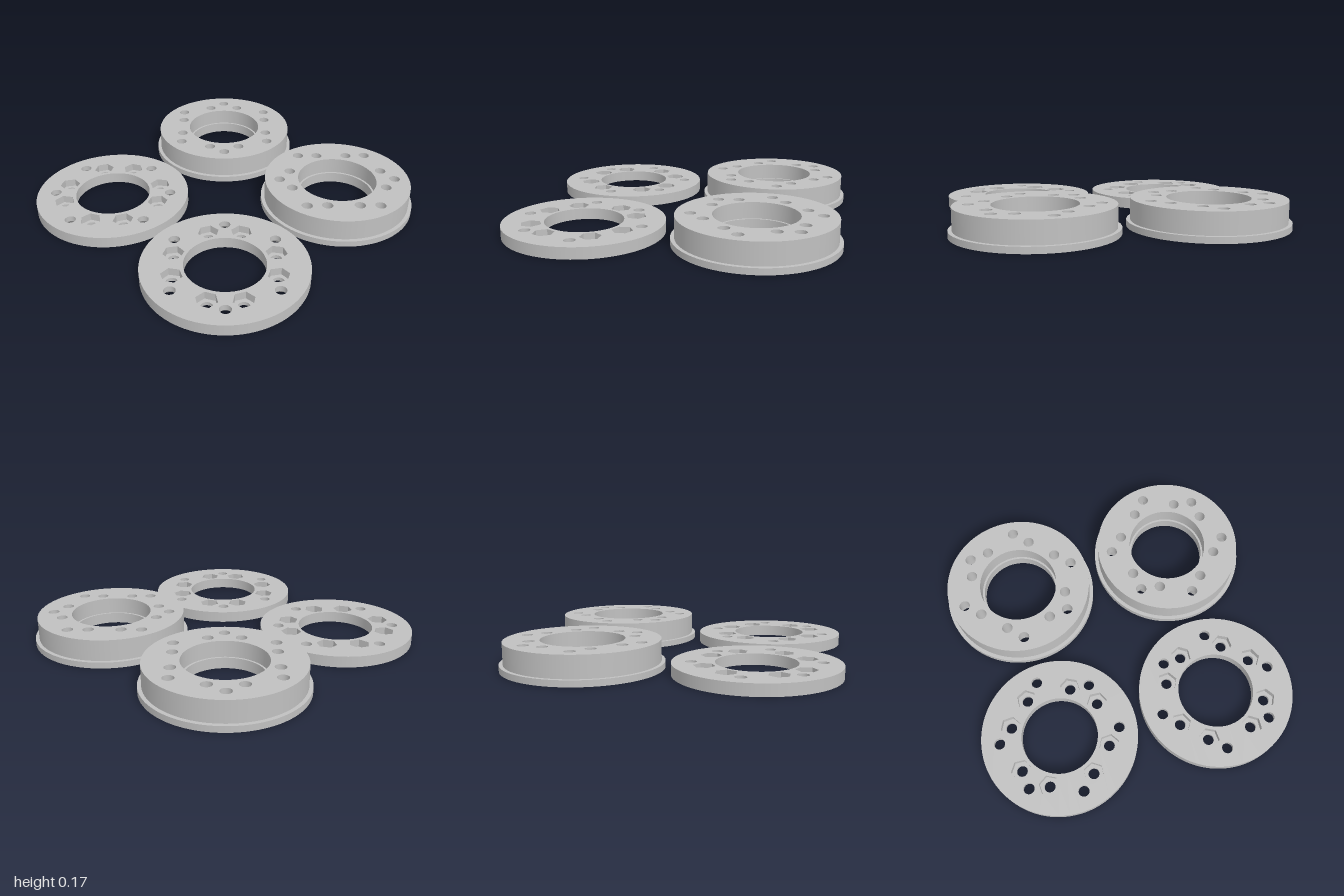
import * as THREE from 'three';
import { mergeGeometries } from 'three/addons/utils/BufferGeometryUtils.js';

const SIDES = 96, HOLE_SIDES = 24;
const OUTER = 0.487, BORE = 0.237, HOLE = 0.034, NUT = 0.064, HEAD = 0.06, SINK = 0.066;

// Inner bolt circle: eight holes
const innerHoles = [];
for (const a of [-1, 1]) for (const b of [-1, 1]) {
  innerHoles.push([0.14 * a, 0.28 * b], [0.28 * a, 0.14 * b]);
}
// Outer bolt circle: six holes, mirrored by m
const outerHoles = (m) => [[0.262, 0.262], [-0.053, 0.37], [-0.37, 0.053]]
  .flatMap(([x, z]) => [[x * m, z], [-x * m, -z]]);

// Nut pockets have a flat side facing the ring's axis
const nutTurn = (x, z) => Math.atan2(x, z) + Math.PI / 6;

// Surface swept around a vertical axis by one straight profile segment
function band([x, z], r0, y0, r1, y1, sides = HOLE_SIDES, turn = 0) {
  let g = new THREE.LatheGeometry([new THREE.Vector2(r0, y0), new THREE.Vector2(r1, y1)], sides, turn);
  if (sides === 6) {
    g = g.toNonIndexed();
    g.computeVertexNormals();
  } else {
    g = g.toNonIndexed();
  }
  return g.translate(x, 0, z);
}

const loop = (x, z, r, sides = HOLE_SIDES, turn = 0) => ({ x, z, r, sides, turn });

// Flat horizontal face with holes, facing up or down
function face(y, up, outline, holes) {
  const s = up ? -1 : 1;
  const points = (l) => Array.from({ length: l.sides }, (_, i) => {
    const a = l.turn + (i / l.sides) * Math.PI * 2;
    return new THREE.Vector2(l.x + l.r * Math.sin(a), s * (l.z + l.r * Math.cos(a)));
  });
  const shape = new THREE.Shape(points(outline));
  shape.holes = holes.map((h) => new THREE.Path(points(h)));
  return new THREE.ShapeGeometry(shape).rotateX(s * Math.PI / 2).translate(0, y, 0).toNonIndexed();
}

export function createModel() {
  const model = new THREE.Group();
  const grey = new THREE.MeshStandardMaterial({ color: 0xc0c0c0 });
  grey.name = 'grey plastic';
  const C = [0, 0];

  const add = (group, name, geometries) => {
    const mesh = new THREE.Mesh(mergeGeometries(geometries), grey);
    mesh.name = name;
    group.add(mesh);
  };

  const place = (name, x, z) => {
    const group = new THREE.Group();
    group.name = name;
    group.position.set(x, 0, z);
    model.add(group);
    return group;
  };

  // Thin ring: nut pockets on top, countersinks underneath
  function flatRing(name, cx, cz) {
    const H = 0.07, POCKET = 0.022, SINK_TOP = 0.034;
    const group = place(name, cx, cz);
    const outer = outerHoles(Math.sign(cx * cz));
    const rim = loop(0, 0, OUTER, SIDES), bore = loop(0, 0, BORE, SIDES);
    add(group, 'ringBody', [
      band(C, OUTER, 0, OUTER, H, SIDES),
      band(C, BORE, H, BORE, 0, SIDES),
      face(H, true, rim, [bore,
        ...innerHoles.map(([x, z]) => loop(x, z, NUT, 6, nutTurn(x, z))),
        ...outer.map(([x, z]) => loop(x, z, HOLE))]),
      face(0, false, rim, [bore,
        ...innerHoles.map(([x, z]) => loop(x, z, HOLE)),
        ...outer.map(([x, z]) => loop(x, z, SINK))]),
    ]);
    add(group, 'nutPockets', innerHoles.flatMap(([x, z]) => [
      band([x, z], NUT, H, NUT, POCKET, 6, nutTurn(x, z)),
      face(POCKET, true, loop(x, z, NUT, 6, nutTurn(x, z)), [loop(x, z, HOLE)]),
      band([x, z], HOLE, POCKET, HOLE, 0),
    ]));
    add(group, 'countersunkHoles', outer.flatMap((p) => [
      band(p, HOLE, H, HOLE, SINK_TOP),
      band(p, HOLE, SINK_TOP, SINK, 0),
    ]));
  }

  // Tall flanged ring: stepped bore, screw recesses underneath
  function flangedRing(name, cx, cz, hex) {
    const H = 0.17, FLANGE = 0.038, LEDGE = 0.068, RECESS = 0.095;
    const BODY = 0.464, TOP_BORE = 0.25;
    const group = place(name, cx, cz);
    const outer = outerHoles(Math.sign(cx * cz));
    const recess = ([x, z]) => hex ? loop(x, z, NUT, 6, nutTurn(x, z)) : loop(x, z, HEAD);
    add(group, 'ringBody', [
      band(C, OUTER, 0, OUTER, FLANGE, SIDES),
      band(C, OUTER, FLANGE, BODY, FLANGE, SIDES),
      band(C, BODY, FLANGE, BODY, H, SIDES),
      band(C, TOP_BORE, H, TOP_BORE, LEDGE, SIDES),
      band(C, TOP_BORE, LEDGE, BORE, LEDGE, SIDES),
      band(C, BORE, LEDGE, BORE, 0, SIDES),
      face(H, true, loop(0, 0, BODY, SIDES), [loop(0, 0, TOP_BORE, SIDES),
        ...[...innerHoles, ...outer].map(([x, z]) => loop(x, z, HOLE))]),
      face(0, false, loop(0, 0, OUTER, SIDES), [loop(0, 0, BORE, SIDES),
        ...innerHoles.map(([x, z]) => loop(x, z, HOLE)),
        ...outer.map(recess)]),
    ]);
    add(group, 'throughHoles', innerHoles.map((p) => band(p, HOLE, H, HOLE, 0)));
    add(group, hex ? 'nutRecesses' : 'screwHeadRecesses', outer.flatMap((p) => {
      const r = recess(p);
      return [
        band(p, HOLE, H, HOLE, RECESS),
        face(RECESS, false, r, [loop(p[0], p[1], HOLE)]),
        band(p, r.r, RECESS, r.r, 0, r.sides, r.turn),
      ];
    }));
  }

  const D = 0.513;
  flatRing('flatRingBack', -D, -D);
  flatRing('flatRingFront', -D, D);
  flangedRing('flangedRingBack', D, -D, false);
  flangedRing('flangedRingFront', D, D, true);
  return model;
}
